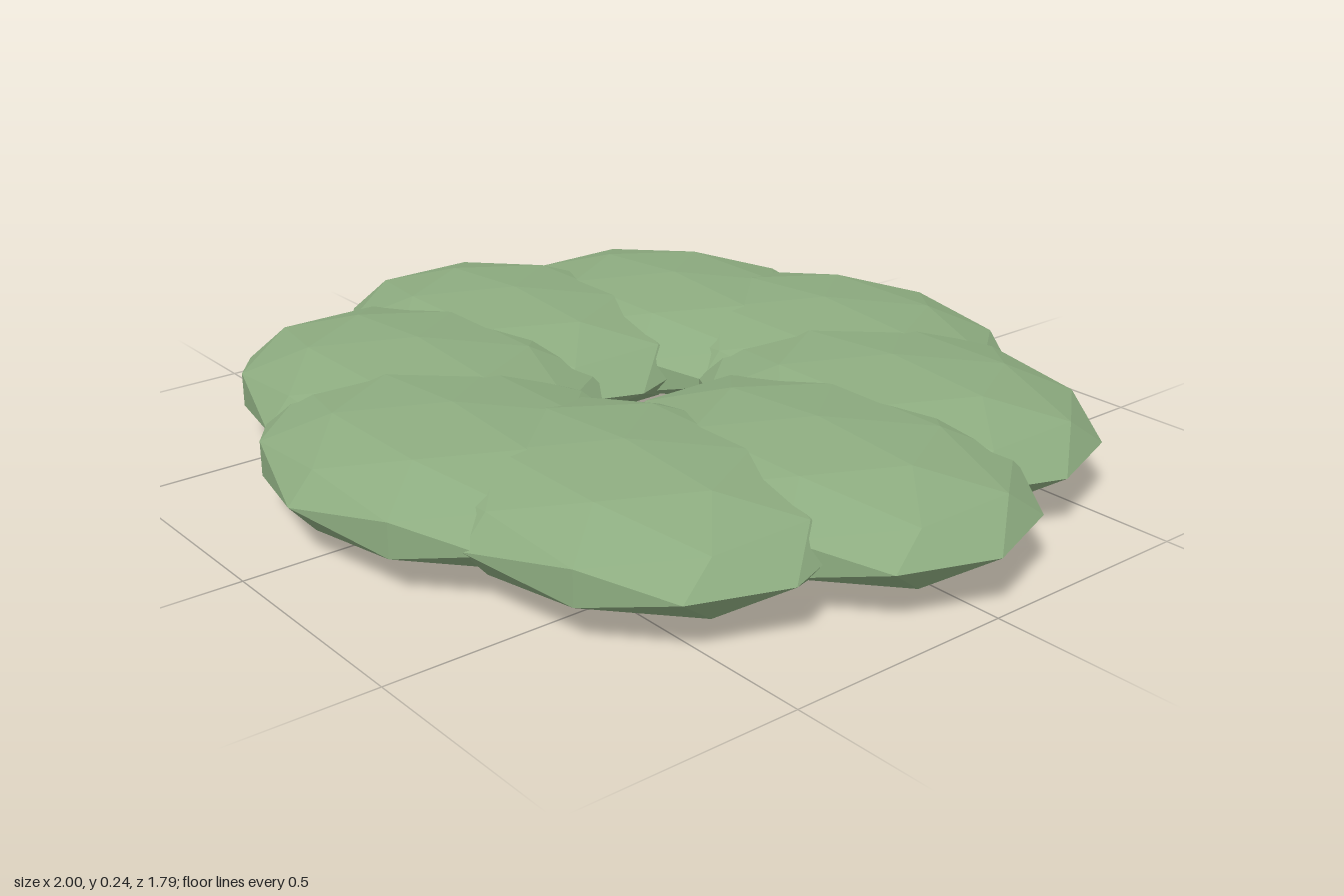
import * as THREE from 'three';

// A low wreath of eight overlapping, flattened faceted lobes.
export function createModel() {
  const model = new THREE.Group();
  model.name = 'wreath';

  const leafGreen = new THREE.MeshStandardMaterial({ color: 0x8dac80, flatShading: true });
  leafGreen.name = 'leaf green';

  const ringRadius = 0.515;
  const halfHeight = 0.122;

  // One squashed lobe shared by the whole ring
  const lobeGeometry = new THREE.IcosahedronGeometry(1, 1);
  lobeGeometry.scale(0.485, halfHeight, 0.379);

  // Lobes keep the same orientation all the way round
  const lobeCount = 8;
  for (let i = 0; i < lobeCount; i++) {
    const angle = (i / lobeCount) * Math.PI * 2;
    const lobe = new THREE.Mesh(lobeGeometry, leafGreen);
    lobe.name = `foliageLobe${i + 1}`;
    lobe.position.set(Math.cos(angle) * ringRadius, halfHeight, Math.sin(angle) * ringRadius);
    model.add(lobe);
  }

  return model;
}
